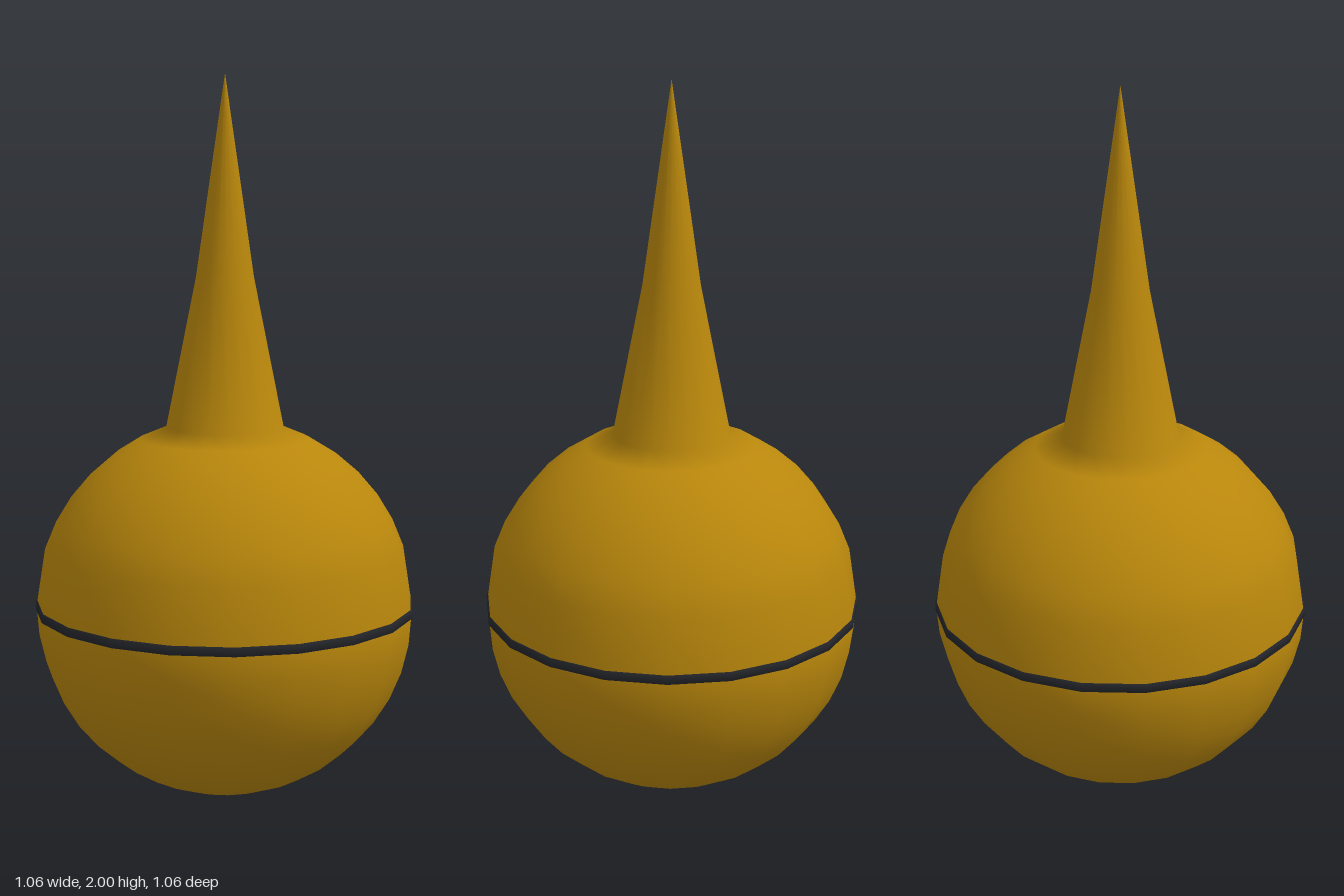
import * as THREE from 'three';

const SIDES = 20;
const R = 0.53;

function lathe(name, points, color) {
  const geometry = new THREE.LatheGeometry(points.map(([x, y]) => new THREE.Vector2(x, y)), SIDES);
  const mesh = new THREE.Mesh(geometry, new THREE.MeshStandardMaterial({ color, side: THREE.DoubleSide }));
  mesh.name = name;
  return mesh;
}

// Points on the ball's outline, angles in degrees above the equator
function arc(from, to, step) {
  const points = [];
  for (let a = from; a <= to; a += step) {
    const t = THREE.MathUtils.degToRad(a);
    points.push([Math.max(0, R * Math.cos(t)), R + R * Math.sin(t)]);
  }
  return points;
}

export function createModel() {
  const group = new THREE.Group();
  group.name = 'spikedBall';

  // Ball flowing into a tapering spike, one smooth turned surface
  const profile = [
    ...arc(-90, 0, 9),
    ...arc(18, 72, 9),
    [0.08, 1.45],
    [0, 2],
  ];
  group.add(lathe('ballAndSpike', profile, 0xb8860b));

  // Thin dark seam around the equator
  group.add(lathe('seamBand', [[R - 0.01, 0.522], [R + 0.002, 0.522], [R + 0.002, 0.546], [R - 0.01, 0.546]], 0x24262b));

  return group;
}
